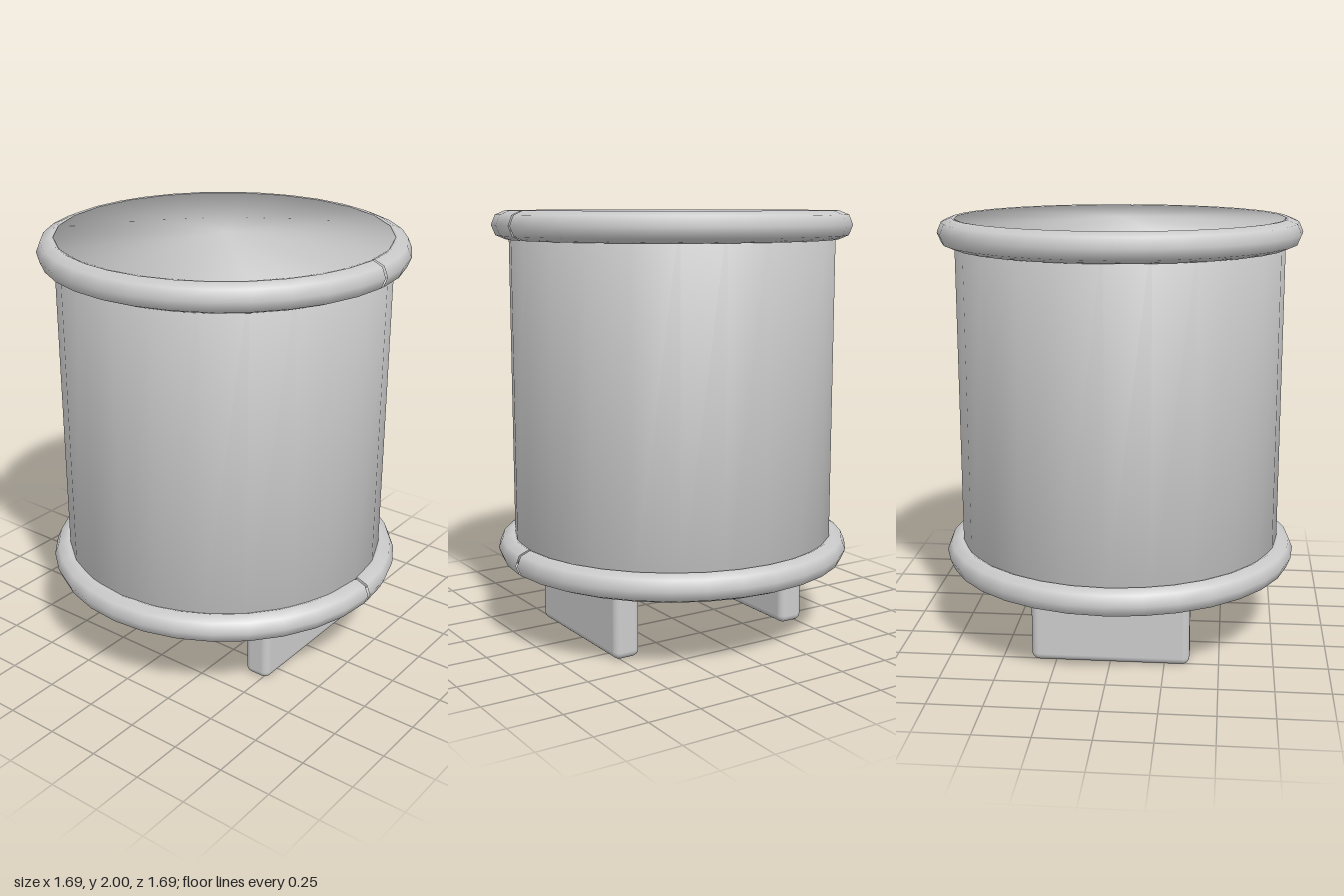
import * as THREE from 'three';
import { mergeVertices } from 'three/addons/utils/BufferGeometryUtils.js';
import { RoundedBoxGeometry } from 'three/addons/geometries/RoundedBoxGeometry.js';

// Weld all corners so the shading runs smoothly over the rim
function weld(geometry) {
  geometry.deleteAttribute('normal');
  geometry.deleteAttribute('uv');
  const welded = mergeVertices(geometry, 1e-4);
  welded.computeVertexNormals();
  return welded;
}

export function createModel() {
  const model = new THREE.Group();
  model.name = 'drum';

  const grey = new THREE.MeshStandardMaterial({ color: 0xcccccc, side: THREE.DoubleSide });
  grey.name = 'light grey';

  const add = (name, geometry, x, y, z) => {
    const mesh = new THREE.Mesh(geometry, grey);
    mesh.name = name;
    mesh.position.set(x, y, z);
    model.add(mesh);
    return mesh;
  };

  // Drum body, closed at both ends
  const bottom = 0.338, top = 1.998;
  add('body', weld(new THREE.CylinderGeometry(0.766, 0.766, top - bottom, 24)), 0, (top + bottom) / 2, 0);

  // Bent hoops with a narrow open seam on the left (+x) side
  const hoop = new THREE.TorusGeometry(0.778, 0.066, 8, 32, Math.PI * 2 - 0.016);
  hoop.rotateX(Math.PI / 2);
  add('lowerHoop', hoop, 0, 0.405, 0);
  add('upperHoop', hoop, 0, 1.934, 0);

  // Two rounded plank feet
  const foot = new RoundedBoxGeometry(0.13, 0.338, 0.73, 4, 0.035);
  for (const side of [-1, 1]) {
    add(side > 0 ? 'leftFoot' : 'rightFoot', foot, side * 0.466, 0.169, 0);
  }

  return model;
}
